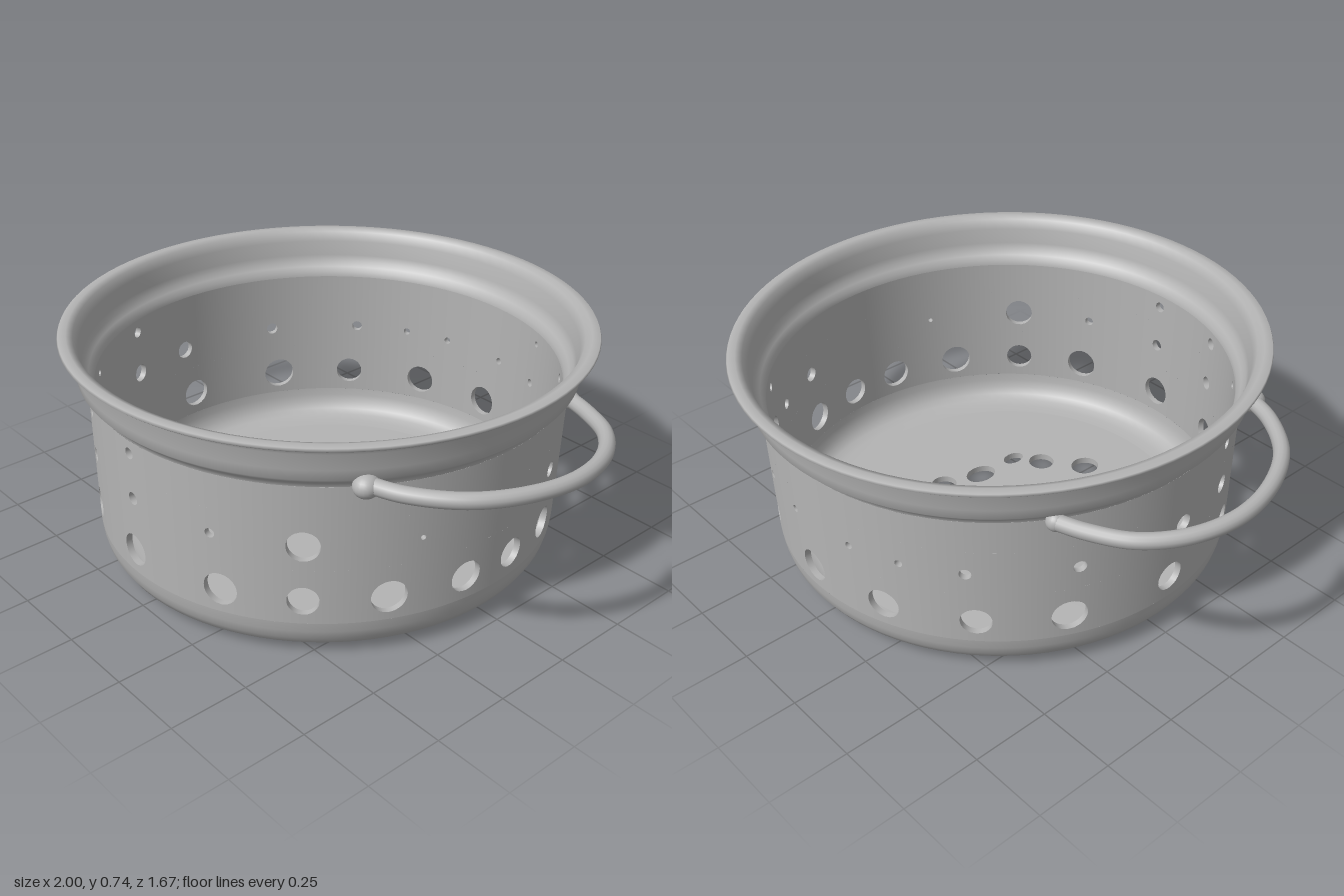
import * as THREE from 'three';

const THICK = 0.02;
const wallRadius = (y) => 0.725 + (y - 0.12) * 0.027;

// Slightly oval, slightly tilted pot
function warp(geo) {
  const p = geo.attributes.position;
  for (let i = 0; i < p.count; i++) {
    const x = p.getX(i), y = p.getY(i), z = p.getZ(i);
    p.setXYZ(i, x, y * (1 + 0.02 * z), z * 1.02 + 0.015 * (1 - y / 0.73));
  }
  return geo;
}

// One band of curved wall: each hole [degrees from +x toward +z, y, radius] sits in its own panel
function perforatedBand(y0, y1, holes) {
  const pos = [], nor = [], idx = [];
  const SIDE = 10, RINGS = 6, N = SIDE * 4;
  const put = (a, y, r, n) => {
    pos.push(r * Math.cos(a), y, r * Math.sin(a));
    nor.push(...n);
    return pos.length / 3 - 1;
  };
  const quad = (a, b, c, d) => idx.push(a, b, c, a, c, d);
  const list = holes.map(([deg, y, r]) => [THREE.MathUtils.degToRad((deg + 360) % 360), y, r])
    .sort((a, b) => a[0] - b[0]);

  list.forEach(([ang, cy, rad], k) => {
    const prev = k ? list[k - 1][0] : list[list.length - 1][0] - Math.PI * 2;
    const next = k < list.length - 1 ? list[k + 1][0] : list[0][0] + Math.PI * 2;
    const a0 = (prev + ang) / 2, a1 = (next + ang) / 2;
    const R = wallRadius(cy);

    // matching points on the panel border and the hole edge
    const border = [], edge = [];
    for (let i = 0; i <= N; i++) {
      const s = Math.floor(i / SIDE) % 4, t = (i % SIDE) / SIDE;
      const u = [t, 1, 1 - t, 0][s], v = [0, t, 1, 1 - t][s];
      const b = [a0 + (a1 - a0) * u, y0 + (y1 - y0) * v];
      const dir = Math.atan2(b[1] - cy, (b[0] - ang) * R);
      border.push(b);
      edge.push([ang + Math.cos(dir) * rad / R, cy + Math.sin(dir) * rad, dir]);
    }

    // outer and inner skins
    for (const side of [1, -1]) {
      const start = pos.length / 3;
      for (let j = 0; j <= RINGS; j++) {
        for (let i = 0; i <= N; i++) {
          const t = j / RINGS;
          const a = edge[i][0] + (border[i][0] - edge[i][0]) * t;
          const y = edge[i][1] + (border[i][1] - edge[i][1]) * t;
          put(a, y, wallRadius(y) - (side < 0 ? THICK : 0), [side * Math.cos(a), 0, side * Math.sin(a)]);
        }
      }
      for (let j = 0; j < RINGS; j++) {
        for (let i = 0; i < N; i++) {
          const a = start + j * (N + 1) + i, d = a + N + 1;
          if (side > 0) quad(a, a + 1, d + 1, d);
          else quad(a, d, d + 1, a + 1);
        }
      }
    }

    // thickness of the hole
    if (rad > 0) {
      const start = pos.length / 3;
      for (const [a, y, dir] of edge) {
        const n = [Math.cos(dir) * Math.sin(a), -Math.sin(dir), -Math.cos(dir) * Math.cos(a)];
        put(a, y, wallRadius(y), n);
        put(a, y, wallRadius(y) - THICK, n);
      }
      for (let i = 0; i < N; i++) {
        const o = start + i * 2;
        quad(o, o + 1, o + 3, o + 2);
      }
    }
  });

  const geo = new THREE.BufferGeometry();
  geo.setAttribute('position', new THREE.Float32BufferAttribute(pos, 3));
  geo.setAttribute('normal', new THREE.Float32BufferAttribute(nor, 3));
  geo.setIndex(idx);
  return geo;
}

function lathe(points) {
  return new THREE.LatheGeometry(points.map(([x, y]) => new THREE.Vector2(x, y)), 96);
}

export function createModel() {
  const group = new THREE.Group();
  const metal = new THREE.MeshStandardMaterial({ color: 0xb4b4b4 });
  metal.name = 'grey metal';
  const add = (name, geo, parent = group) => {
    const m = new THREE.Mesh(geo, metal);
    m.name = name;
    parent.add(m);
    return m;
  };

  // Floor with a ring of uneven drain holes [x, z, rx, rz]
  const disc = new THREE.Shape();
  disc.absarc(0, 0, 0.6, 0, Math.PI * 2);
  const drains = [
    [-0.13, -0.35, 0.022, 0.018], [0.02, -0.38, 0.015, 0.013], [-0.195, -0.24, 0.024, 0.014],
    [0.055, -0.26, 0.022, 0.016], [0.21, -0.245, 0.036, 0.05], [-0.26, -0.135, 0.021, 0.018],
    [0.245, -0.055, 0.042, 0.043], [-0.24, -0.025 + 0.05, 0.04, 0.04], [0.005, -0.01, 0.017, 0.015],
    [0.205, 0.075, 0.04, 0.054], [-0.22, 0.18, 0.037, 0.04], [0.2, 0.22, 0.026, 0.038],
    [-0.08, 0.25, 0.045, 0.04], [0.12, 0.28, 0.043, 0.042], [0, 0.375, 0.045, 0.048],
  ];
  for (const [x, z, rx, rz] of drains) {
    const hole = new THREE.Path();
    hole.absellipse(x, z, rx, rz, 0, Math.PI * 2, true);
    disc.holes.push(hole);
  }
  const floor = new THREE.ExtrudeGeometry(disc, { depth: 0.022, bevelEnabled: false, curveSegments: 48 });
  floor.rotateX(Math.PI / 2).translate(0, 0.025, 0);
  add('floor', warp(floor));

  // Rounded lower corner, outside and inside
  add('baseCornerOuter', warp(lathe([[0.595, 0.003], [0.64, 0.007], [0.675, 0.018], [0.7, 0.037],
    [0.715, 0.062], [0.722, 0.09], [0.725, 0.12]])));
  add('baseCornerInner', warp(lathe([[0.705, 0.12], [0.702, 0.095], [0.695, 0.07], [0.68, 0.048],
    [0.66, 0.034], [0.63, 0.027], [0.595, 0.025]])));

  // Perforated wall
  const lower = [8, 27, 46, 65, 91, 115, 133, 153, 179, 206, 227, 249, 271, 296, 310, 338, 353.5]
    .map((a, i) => [a, 0.197, 0.05 + 0.004 * Math.sin(i * 2.3)]);
  const middle = [[20, 0.008], [46, 0.048], [67, 0.015], [90, 0.02], [113, 0.022], [131, 0.022],
    [158, 0.03], [176, 0.03], [204, 0.02], [229, 0.018], [244, 0.012], [257, 0.012], [276, 0.012],
    [291, 0.014], [310, 0.045], [322, 0.018], [337, 0.025], [359, 0]].map(([a, r]) => [a, 0.378, r]);
  const upper = [[0, 0], [22, 0], [45, 0], [68, 0], [90, 0.018], [113, 0.02], [133, 0.012],
    [158, 0.018], [180, 0], [203, 0], [226, 0], [248, 0], [270, 0], [292, 0.01], [312, 0.015],
    [336, 0]].map(([a, r]) => [a, 0.527, r]);
  add('wallLower', warp(perforatedBand(0.12, 0.3, lower)));
  add('wallMiddle', warp(perforatedBand(0.3, 0.46, middle)));
  add('wallUpper', warp(perforatedBand(0.46, 0.57, upper)));

  // Stepped collar and flared rim
  add('collarAndRim', warp(lathe([[0.737, 0.57], [0.74, 0.582], [0.755, 0.595], [0.768, 0.608],
    [0.772, 0.64], [0.778, 0.69], [0.786, 0.711], [0.81, 0.715], [0.817, 0.721], [0.814, 0.728],
    [0.79, 0.73], [0.77, 0.722], [0.758, 0.69], [0.751, 0.64], [0.745, 0.617], [0.732, 0.602],
    [0.72, 0.587], [0.717, 0.57]])));

  // Loop handles with flattened ends
  const path = [[0.62, 0.598, 0.44], [0.74, 0.597, 0.395], [0.87, 0.596, 0.29], [0.95, 0.592, 0.14],
    [0.976, 0.587, -0.02], [0.94, 0.581, -0.17], [0.855, 0.575, -0.285], [0.74, 0.57, -0.35],
    [0.64, 0.568, -0.385]];
  for (const s of [1, -1]) {
    const handle = new THREE.Group();
    handle.name = s > 0 ? 'leftHandle' : 'rightHandle';
    const curve = new THREE.CatmullRomCurve3(path.map(([x, y, z]) => new THREE.Vector3(s * x, y, z)));
    add('handleLoop', new THREE.TubeGeometry(curve, 64, 0.024, 14), handle);
    const front = add('handleLug', new THREE.SphereGeometry(0.038, 20, 14), handle);
    front.position.set(s * 0.642, 0.595, 0.437);
    front.scale.set(1, 0.9, 1.05);
    const back = add('handleLug', new THREE.SphereGeometry(0.028, 20, 14), handle);
    back.position.set(s * 0.65, 0.568, -0.38);
    group.add(handle);
  }
  return group;
}
